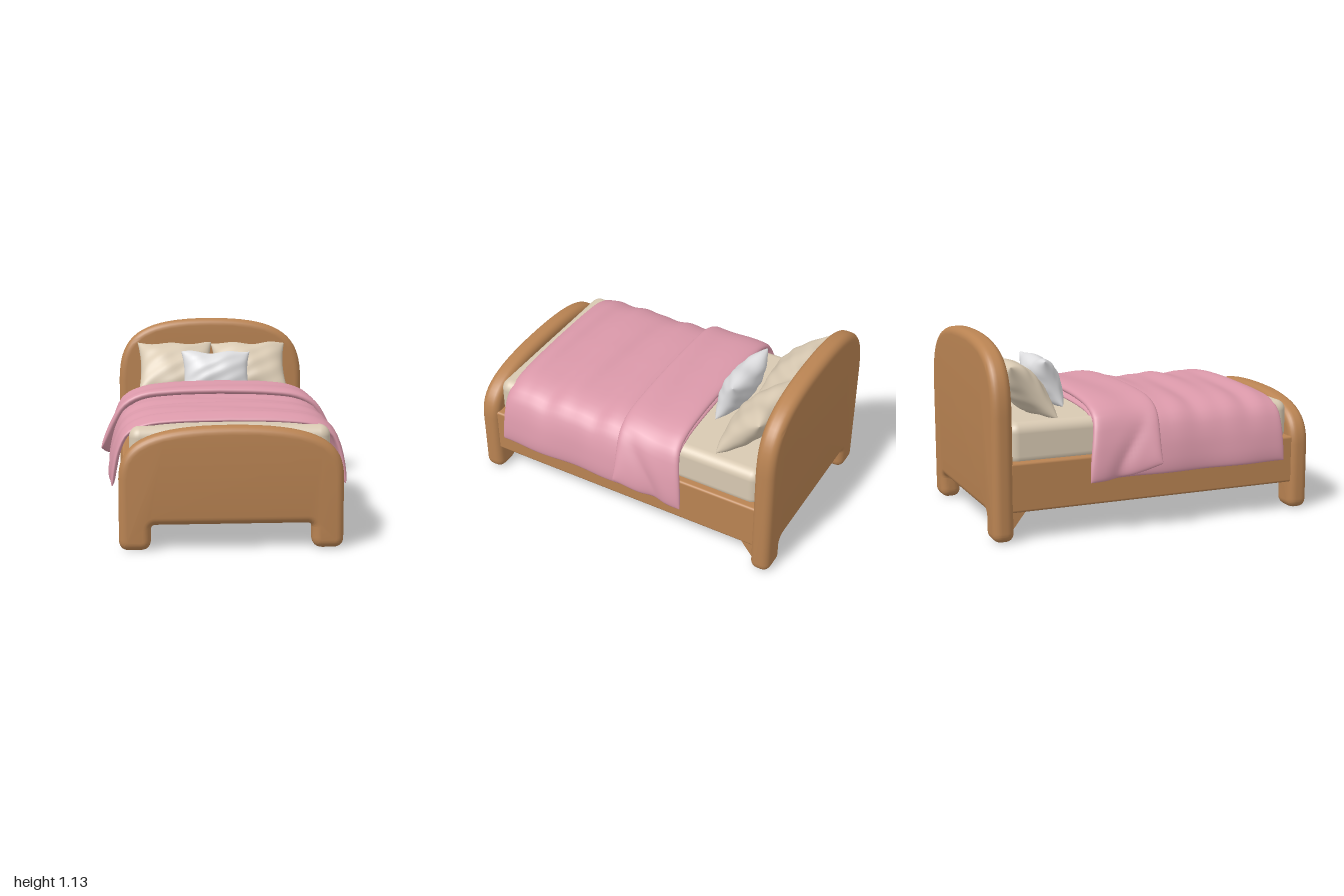
import * as THREE from 'three';
import { mergeVertices, toCreasedNormals } from 'three/addons/utils/BufferGeometryUtils.js';
import { RoundedBoxGeometry } from 'three/addons/geometries/RoundedBoxGeometry.js';

const material = (name, color) => {
  const m = new THREE.MeshStandardMaterial({ color });
  m.name = name;
  return m;
};

// Closed soft shell: a mid surface thickened both ways, pinched shut at its rim
function shell(mid, half, nu, nv) {
  const pos = [], index = [], du = new THREE.Vector3(), dv = new THREE.Vector3();
  const c = (t) => THREE.MathUtils.clamp(t, -1, 1), e = 0.004;
  const ease = (i, n) => Math.sin((i / n - 0.5) * Math.PI);
  for (const side of [1, -1]) {
    const base = pos.length / 3;
    for (let j = 0; j <= nv; j++) {
      for (let i = 0; i <= nu; i++) {
        const u = ease(i, nu), v = ease(j, nv);
        du.copy(mid(c(u + e), v)).sub(mid(c(u - e), v));
        dv.copy(mid(u, c(v + e))).sub(mid(u, c(v - e)));
        const p = mid(u, v).addScaledVector(dv.cross(du).normalize(), side * half(u, v));
        pos.push(p.x, p.y, p.z);
        if (i < nu && j < nv) {
          const a = base + j * (nu + 1) + i, b = a + nu + 1;
          if (side > 0) index.push(a, b, a + 1, b, b + 1, a + 1);
          else index.push(a, a + 1, b, b, a + 1, b + 1);
        }
      }
    }
  }
  const g = new THREE.BufferGeometry();
  g.setAttribute('position', new THREE.Float32BufferAttribute(pos, 3));
  g.setIndex(index);
  const merged = mergeVertices(g, 1e-4);
  merged.computeVertexNormals();
  return merged;
}

// Rounded end board with an arched top and two legs
function boardGeometry(shoulder, control, top, notch) {
  const s = new THREE.Shape(), w = 0.62, inner = 0.445, r = 0.06, f = 0.03;
  s.moveTo(inner + r, 0);
  s.lineTo(w - r, 0);
  s.quadraticCurveTo(w, 0, w, r);
  s.lineTo(w, shoulder);
  s.bezierCurveTo(w - 0.005, control, 0.5, top, 0, top);
  s.bezierCurveTo(-0.5, top, -w + 0.005, control, -w, shoulder);
  s.lineTo(-w, r);
  s.quadraticCurveTo(-w, 0, -w + r, 0);
  s.lineTo(-inner - r, 0);
  s.quadraticCurveTo(-inner, 0, -inner, r);
  s.lineTo(-inner, notch - f);
  s.quadraticCurveTo(-inner, notch, -inner + f, notch);
  s.lineTo(inner - f, notch);
  s.quadraticCurveTo(inner, notch, inner, notch - f);
  s.lineTo(inner, r);
  s.quadraticCurveTo(inner, 0, inner + r, 0);
  const b = 0.045;
  const g = new THREE.ExtrudeGeometry(s, {
    depth: 0.12 - 2 * b, bevelThickness: b, bevelSize: b, bevelOffset: -b,
    bevelSegments: 6, curveSegments: 18,
  });
  g.translate(0, 0, b - 0.06);
  return toCreasedNormals(g, 0.7);
}

const profile = (pts) => new THREE.CatmullRomCurve3(pts.map(([x, y]) => new THREE.Vector3(x, y, 0)));
const rim = (u, v, n, m) => Math.sqrt(Math.max(0, (1 - Math.abs(u) ** n) * (1 - Math.abs(v) ** m)));

function blanketGeometry() {
  const curve = profile([[0, 0.71], [0.3, 0.702], [0.47, 0.68], [0.57, 0.63], [0.62, 0.54], [0.65, 0.42], [0.663, 0.325]]);
  const mid = (u, v) => {
    const p = curve.getPointAt(Math.abs(u)), z = 0.208 + v * 0.597;
    const drop = THREE.MathUtils.smoothstep(Math.abs(u), 0.55, 1);
    const wave = 0.007 * Math.sin(z * 19 + u * 1.3) + 0.004 * Math.sin(z * 37 - u * 3);
    p.y += wave * (1 - drop) - 0.02 * THREE.MathUtils.smoothstep(z, 0.68, 0.82) * (1 - drop);
    p.x = Math.sign(u) * (p.x + drop * 0.007 * Math.sin(z * 13 + 1));
    return p.setZ(z);
  };
  return shell(mid, (u, v) => 0.018 * rim(u, v, 24, 24), 56, 72);
}

function foldGeometry() {
  const rear = profile([[0, 0.748], [0.3, 0.74], [0.48, 0.714], [0.58, 0.66], [0.63, 0.55], [0.66, 0.43], [0.68, 0.315]]);
  const front = profile([[0, 0.748], [0.3, 0.74], [0.48, 0.718], [0.59, 0.66], [0.65, 0.57], [0.695, 0.48], [0.73, 0.4]]);
  const mid = (u, v) => {
    const a = Math.abs(u), t = (v + 1) / 2, k = t * t;
    const drop = THREE.MathUtils.smoothstep(a, 0.55, 1);
    const p = rear.getPointAt(a).lerp(front.getPointAt(a), k);
    // diagonal crease running down the hanging sides
    const crease = Math.exp(-(((t - 0.85 + 0.45 * drop) / 0.14) ** 2));
    p.x = Math.sign(u) * (p.x - 0.022 * drop * crease);
    p.y += 0.004 * Math.sin(t * 9 + u * 2) * (1 - drop);
    return p.setZ(-0.395 - 0.055 * drop * (1 - t) + 0.4 * t - 0.03 * drop * k);
  };
  return shell(mid, (u, v) => 0.024 * rim(u, v, 20, 10), 56, 32);
}

// Plump cushion with drawn-in edges and pointed corners
function pillowGeometry(w, h, depth, phase) {
  const mid = (u, v) => new THREE.Vector3(
    u * w / 2 * (1 - 0.09 * (1 - v * v)),
    -v * h / 2 * (1 - 0.1 * (1 - u * u)) + 0.008 * Math.sin(u * 6 + phase) * v,
    0);
  const half = (u, v) => {
    const puff = Math.max(0, (1 - u * u) * (1 - v * v));
    const crumple = 1 + 0.07 * Math.sin(u * 7 + v * 4 + phase) * Math.cos(v * 6 - phase);
    return depth / 2 * puff ** 0.45 * crumple;
  };
  return shell(mid, half, 28, 28);
}

export function createModel() {
  const wood = material('wood', 0xb98352);
  const linen = material('cream linen', 0xd8c9b2);
  const pink = material('pink blanket', 0xda98a9);
  const white = material('white cotton', 0xdcdcde);
  const bed = new THREE.Group();
  bed.name = 'bed';
  const add = (name, geometry, mat, x = 0, y = 0, z = 0) => {
    const mesh = new THREE.Mesh(geometry, mat);
    mesh.name = name;
    mesh.position.set(x, y, z);
    bed.add(mesh);
    return mesh;
  };

  // Frame
  add('headboard', boardGeometry(0.72, 1.0, 1.13, 0.15), wood, 0, 0, -0.94);
  add('footboard', boardGeometry(0.4, 0.58, 0.685, 0.14), wood, 0, 0, 0.94);
  add('bedBase', new RoundedBoxGeometry(1.2, 0.285, 1.8, 3, 0.015), wood, 0, 0.308, 0);

  // Braces between the headboard legs and the base
  const brace = new THREE.Shape([[0.8, 0.18], [0.9, 0.05], [0.9, 0.18]].map(([x, y]) => new THREE.Vector2(x, y)));
  for (const side of [1, -1]) {
    const g = new THREE.ExtrudeGeometry(brace, { depth: 0.08, bevelEnabled: false });
    g.rotateY(Math.PI / 2);
    add(side > 0 ? 'leftBrace' : 'rightBrace', g, wood, side * 0.55 - 0.04, 0, 0);
  }

  // Bedding
  add('mattress', new RoundedBoxGeometry(1.12, 0.25, 1.77, 5, 0.06), linen, 0, 0.54, 0);
  add('blanket', blanketGeometry(), pink);
  add('turnedDownBlanket', foldGeometry(), pink);

  // Pillows leaning on the headboard
  for (const side of [1, -1]) {
    const p = add(side > 0 ? 'leftPillow' : 'rightPillow', pillowGeometry(0.5, 0.41, 0.2, side), linen, side * 0.247, 0.815, -0.715);
    p.rotation.x = -0.72;
  }
  const cushion = add('smallCushion', pillowGeometry(0.45, 0.3, 0.18, 2.5), white, 0.01, 0.805, -0.495);
  cushion.rotation.x = -0.38;
  return bed;
}
